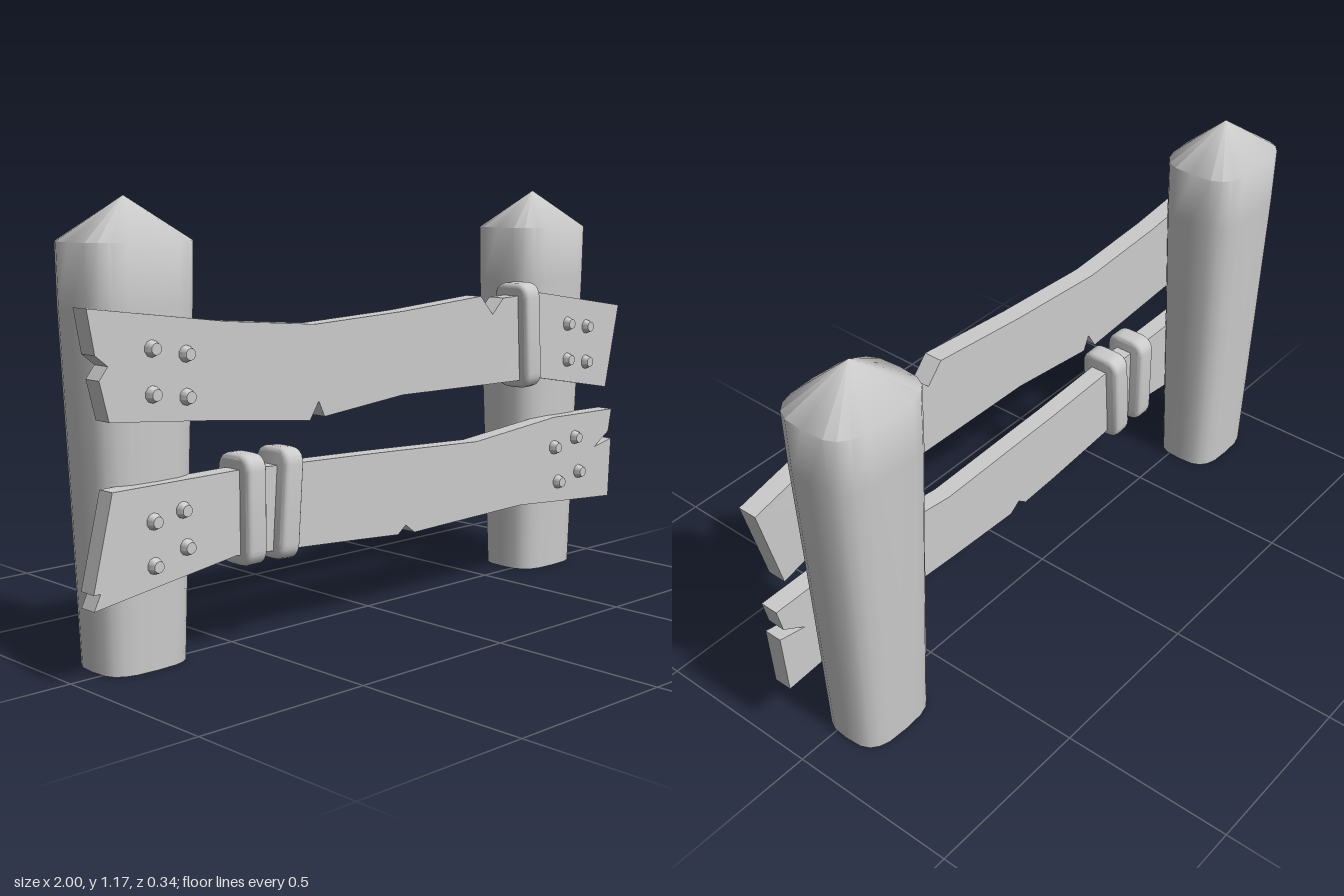
import * as THREE from 'three';
import { toCreasedNormals } from 'three/addons/utils/BufferGeometryUtils.js';

const grey = new THREE.MeshStandardMaterial({ color: 0xcccccc });

function mesh(name, geometry) {
  const m = new THREE.Mesh(geometry, grey);
  m.name = name;
  return m;
}

// Tapered post with a squarish rounded section and a pointed cap
function postGeometry() {
  const N = 20;
  // y, half width, half depth, z centre
  const rows = [[0, 0, 0, -0.04], [0, 0.125, 0.1, -0.04], [0.5, 0.142, 0.114, -0.042],
    [0.9, 0.158, 0.124, -0.043], [1.06, 0.16, 0.127, -0.043], [1.17, 0, 0, -0.043]];
  const pos = [], idx = [];
  const power = (v) => Math.sign(v) * Math.pow(Math.abs(v), 0.62);
  for (const [y, w, d, zc] of rows) {
    for (let i = 0; i < N; i++) {
      const a = (i / N) * Math.PI * 2;
      pos.push(w * power(Math.sin(a)), y, zc + d * power(Math.cos(a)));
    }
  }
  for (let r = 0; r < rows.length - 1; r++) {
    for (let i = 0; i < N; i++) {
      const a = r * N + i, b = r * N + (i + 1) % N;
      if (r > 0) idx.push(a, b, b + N);
      if (r === 0) idx.push(a, b + N, a + N);
      else if (r < rows.length - 2) idx.push(a, b + N, a + N);
    }
  }
  const g = new THREE.BufferGeometry();
  g.setAttribute('position', new THREE.Float32BufferAttribute(pos, 3));
  g.setIndex(idx);
  return toCreasedNormals(g, 1.02);
}

// Height of a polyline of [x, z] points at x
function bowAt(bow, x) {
  for (let i = 1; i < bow.length; i++) {
    const [x0, z0] = bow[i - 1], [x1, z1] = bow[i];
    if (x <= x1 || i === bow.length - 1) return z0 + (z1 - z0) * (x - x0) / (x1 - x0);
  }
}

// Keep the part of an outline on one side of a vertical line
function clip(points, x, side) {
  const out = [];
  points.forEach((p, i) => {
    const q = points[(i + 1) % points.length];
    const dp = (p[0] - x) * side, dq = (q[0] - x) * side;
    if (dp >= 0) out.push(p);
    if (dp * dq < 0) out.push([x, p[1] + (q[1] - p[1]) * dp / (dp - dq)]);
  });
  return out;
}

// Splintered board: the outline is cut at each bend, extruded and bowed in z
function plankGeometry(outline, bow, thickness) {
  const cuts = bow.slice(1, -1).map((b) => b[0]);
  const pos = [];
  for (let s = 0; s <= cuts.length; s++) {
    let part = outline;
    if (s > 0) part = clip(part, cuts[s - 1], 1);
    if (s < cuts.length) part = clip(part, cuts[s], -1);
    const shape = new THREE.Shape(part.map((p) => new THREE.Vector2(...p)));
    const g = new THREE.ExtrudeGeometry(shape, { depth: thickness, bevelEnabled: false });
    const p = (g.index ? g.toNonIndexed() : g).attributes.position;
    for (let t = 0; t < p.count; t += 3) {
      // leave out the hidden walls where two sections meet
      const hidden = cuts.some((c) => [0, 1, 2].every((k) => Math.abs(p.getX(t + k) - c) < 1e-5));
      if (hidden) continue;
      for (let k = t; k < t + 3; k++) {
        const x = p.getX(k);
        pos.push(x, p.getY(k), p.getZ(k) - thickness / 2 + bowAt(bow, x));
      }
    }
  }
  const g = new THREE.BufferGeometry();
  g.setAttribute('position', new THREE.Float32BufferAttribute(pos, 3));
  return toCreasedNormals(g, 0.3);
}

// Rounded band wrapped around a board
function strap(name, x, y, z, width, height, depth, tilt) {
  const bevel = 0.014, w = depth / 2 - bevel, h = height / 2 - bevel, r = 0.03;
  const s = new THREE.Shape();
  s.moveTo(-w + r, -h);
  s.lineTo(w - r, -h).quadraticCurveTo(w, -h, w, -h + r);
  s.lineTo(w, h - r).quadraticCurveTo(w, h, w - r, h);
  s.lineTo(-w + r, h).quadraticCurveTo(-w, h, -w, h - r);
  s.lineTo(-w, -h + r).quadraticCurveTo(-w, -h, -w + r, -h);
  const length = width - 2 * bevel;
  const g = new THREE.ExtrudeGeometry(s, { depth: length, bevelEnabled: true,
    bevelSize: bevel, bevelThickness: bevel, bevelSegments: 3, curveSegments: 5 });
  g.translate(0, 0, -length / 2).rotateY(Math.PI / 2);
  const m = mesh(name, toCreasedNormals(g, 0.7));
  m.position.set(x, y, z);
  m.rotation.z = tilt;
  return m;
}

export function createModel() {
  const group = new THREE.Group();

  // Posts
  const post = postGeometry();
  [['rightPost', -0.785], ['leftPost', 0.75]].forEach(([name, x]) => {
    const m = mesh(name, post);
    m.position.x = x;
    group.add(m);
  });

  // Boards, outlined clockwise from the upper right-hand end
  const boards = [
    {
      name: 'upperPlank', thickness: 0.055,
      bow: [[-1, 0.08], [-0.6, 0.086], [-0.15, 0.096], [0.15, 0.102], [0.57, 0.111], [1, 0.08]],
      outline: [[-1, 0.915], [-0.59, 0.86], [-0.305, 0.835], [0.01, 0.85], [0.32, 0.875],
        [0.37, 0.82], [0.415, 0.865], [0.58, 0.872], [1, 0.81], [0.935, 0.555], [0.58, 0.617],
        [0.01, 0.62], [-0.275, 0.59], [-0.295, 0.633], [-0.325, 0.585], [-0.63, 0.617],
        [-0.945, 0.645], [-0.97, 0.745], [-0.945, 0.777], [-0.98, 0.805]],
      nails: [[-0.82, 0.81], [-0.72, 0.79], [-0.82, 0.7], [-0.72, 0.685],
        [0.72, 0.77], [0.82, 0.755], [0.72, 0.66], [0.82, 0.645]],
    },
    {
      name: 'lowerPlank', thickness: 0.053,
      bow: [[-1, 0.082], [-0.57, 0.072], [-0.1, 0.068], [0.34, 0.073], [0.7, 0.082], [1, 0.082]],
      outline: [[-0.94, 0.478], [-0.56, 0.48], [0.01, 0.46], [0.345, 0.447], [0.69, 0.483],
        [0.975, 0.48], [0.96, 0.41], [0.89, 0.367], [0.975, 0.385], [0.965, 0.2], [0.54, 0.23],
        [0.09, 0.217], [0.055, 0.243], [0.025, 0.22], [-0.56, 0.26], [-1, 0.2], [-0.98, 0.24],
        [-1, 0.24]],
      nails: [[-0.82, 0.39], [-0.73, 0.405], [-0.82, 0.28], [-0.72, 0.31],
        [0.69, 0.39], [0.79, 0.41], [0.71, 0.28], [0.81, 0.3]],
    },
  ];

  // Nail heads sit proud of the board fronts
  const nail = toCreasedNormals(
    new THREE.CylinderGeometry(0.015, 0.023, 0.024, 10).rotateX(Math.PI / 2), 0.7);
  for (const b of boards) {
    group.add(mesh(b.name, plankGeometry(b.outline, b.bow, b.thickness)));
    for (const [x, y] of b.nails) {
      const m = mesh('nailHead', nail);
      m.position.set(x, y, bowAt(b.bow, x) + b.thickness / 2 + 0.008);
      group.add(m);
    }
  }

  // Straps
  group.add(
    strap('upperStrap', 0.516, 0.75, 0.107, 0.066, 0.31, 0.128, 0.05),
    strap('lowerStrapOuter', -0.515, 0.373, 0.07, 0.064, 0.29, 0.13, 0),
    strap('lowerStrapInner', -0.396, 0.373, 0.07, 0.064, 0.295, 0.13, -0.07),
  );
  return group;
}
